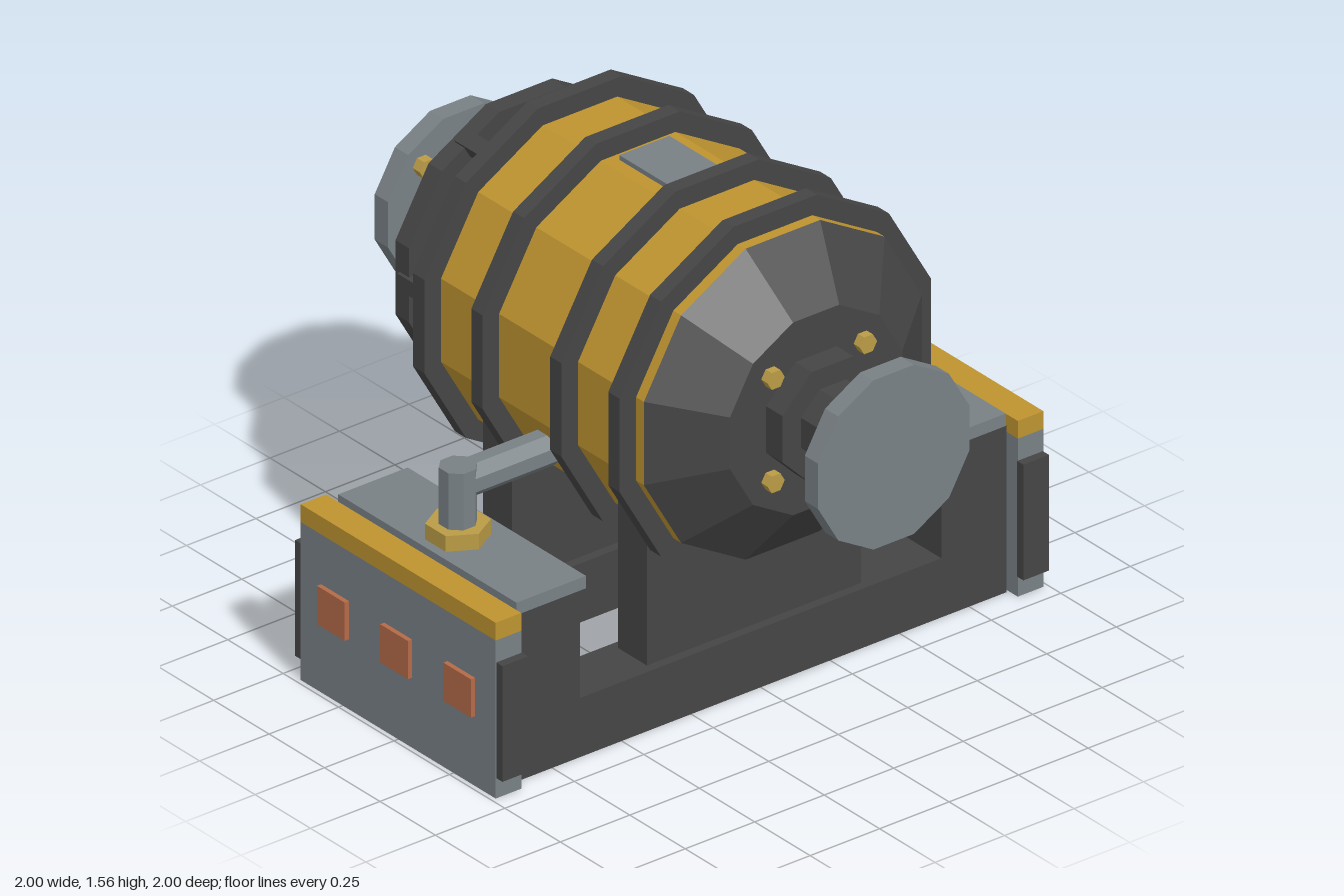
import * as THREE from 'three';

const mat = (name, color) => {
  const m = new THREE.MeshStandardMaterial({ color });
  m.name = name;
  return m;
};

export function createModel() {
  const model = new THREE.Group();
  model.name = 'drumMachine';
  const yellow = mat('yellow paint', 0xbe9430);
  const dark = mat('dark iron', 0x454545);
  const grey = mat('grey steel', 0x798185);
  const brass = mat('brass', 0xbb9c46);
  const copper = mat('copper', 0xb46a48);
  const AXIS = 1.0;

  // Faceted mesh helper
  function add(name, geo, material, parent = model) {
    const g = geo.index ? geo.toNonIndexed() : geo;
    g.computeVertexNormals();
    const mesh = new THREE.Mesh(g, material);
    mesh.name = name;
    parent.add(mesh);
    return mesh;
  }
  // Box from its limits
  function box(name, material, x0, x1, y0, y1, z0, z1) {
    const g = new THREE.BoxGeometry(x1 - x0, y1 - y0, z1 - z0);
    g.translate((x0 + x1) / 2, (y0 + y1) / 2, (z0 + z1) / 2);
    return add(name, g, material);
  }
  // Polygonal prism or cone along z, sized by the distance to its flats
  function prism(name, material, sides, flatBack, flatFront, z0, z1, x = 0, y = AXIS) {
    const k = 1 / Math.cos(Math.PI / sides);
    const g = new THREE.CylinderGeometry(flatFront * k, flatBack * k, z1 - z0, sides);
    g.rotateY(Math.PI / sides).rotateX(Math.PI / 2).translate(x, y, (z0 + z1) / 2);
    return add(name, g, material);
  }

  // Drum, front cone and hoops
  prism('drum', yellow, 12, 0.5, 0.5, -0.5, 0.5);
  prism('frontCone', dark, 12, 0.5, 0.31, 0.5, 0.65);
  for (const z of [-0.44, -0.178, 0.178, 0.44]) {
    prism('hoop', dark, 12, 0.56, 0.56, z - 0.025, z + 0.025);
  }
  box('topHatch', grey, -0.09, 0.09, 1.48, 1.515, -0.125, 0.125);

  // Front shaft
  prism('frontCollar', dark, 8, 0.18, 0.18, 0.65, 0.725);
  prism('frontPipe', dark, 8, 0.115, 0.115, 0.72, 0.94);
  prism('frontFlange', grey, 12, 0.272, 0.272, 0.94, 1.0);

  // Rear shaft
  prism('fanHub', grey, 8, 0.08, 0.08, -0.64, -0.5);
  prism('rearCollar', dark, 8, 0.18, 0.18, -0.72, -0.63);
  prism('rearHousing', dark, 8, 0.148, 0.148, -0.875, -0.72);
  prism('rearPipe', dark, 8, 0.115, 0.115, -0.94, -0.875);
  prism('rearFlange', grey, 12, 0.272, 0.272, -1.0, -0.94);

  // Bolts on the cone and both flanges
  for (const [z0, z1, r] of [[0.64, 0.678, 0.235], [0.908, 0.94, 0.215], [-0.94, -0.908, 0.215]]) {
    for (let i = 0; i < 4; i++) {
      const a = Math.PI / 4 + i * Math.PI / 2;
      prism('bolt', brass, 6, 0.027, 0.027, z0, z1, r * Math.cos(a), AXIS + r * Math.sin(a));
    }
  }

  // Rear guard ring
  const guard = new THREE.LatheGeometry(
    [[0.385, -0.03], [0.46, -0.03], [0.46, 0.03], [0.385, 0.03], [0.385, -0.03]]
      .map(([r, h]) => new THREE.Vector2(r, h)), 12);
  guard.rotateY(Math.PI / 12).rotateX(Math.PI / 2).translate(0, AXIS, -0.66);
  add('guardRing', guard, dark);

  // Guard struts and pitched fan blades
  for (let i = 0; i < 6; i++) {
    const a = i * Math.PI / 3;
    const strut = new THREE.BoxGeometry(0.05, 0.05, 0.18);
    strut.translate(0.43, 0, -0.58).rotateZ(a).translate(0, AXIS, 0);
    add('guardStrut', strut, dark);
    const blade = new THREE.BoxGeometry(0.31, 0.12, 0.018);
    blade.rotateX(0.66).translate(0.215, 0, -0.57).rotateZ(a).translate(0, AXIS, 0);
    add('fanBlade', blade, grey);
  }

  // Base rails and drum cradles, front and rear
  for (const s of [-1, 1]) {
    const zr = s * 0.305;
    box('baseRail', dark, -0.65, 0.65, 0, 0.19, zr - 0.095, zr + 0.095);
    box('drumCradle', dark, -0.385, 0.385, 0.19, 0.675, zr - 0.065, zr + 0.065);
  }

  // Side pedestals, panels and feed pipes
  for (const s of [-1, 1]) {
    const side = (name, m, x0, x1, ...rest) =>
      box(name, m, Math.min(s * x0, s * x1), Math.max(s * x0, s * x1), ...rest);
    side('pedestal', dark, 0.65, 0.885, 0, 0.537, -0.4, 0.4);
    side('pedestalPlate', grey, 0.63, 0.88, 0.537, 0.577, -0.402, 0.402);
    side('sidePanel', grey, 0.893, 0.985, 0, 0.508, -0.44, 0.44);
    side('panelCap', yellow, 0.893, 0.985, 0.508, 0.565, -0.44, 0.44);
    for (const e of [-1, 1]) {
      side('panelEnd', dark, 0.891, 0.983, 0.065, 0.437, e * 0.453 - 0.015, e * 0.453 + 0.015);
    }
    for (const z of [-0.285, 0, 0.285]) {
      side('copperPlate', copper, 0.98, 1.0, 0.225, 0.348, z - 0.0625, z + 0.0625);
    }

    const nut = new THREE.CylinderGeometry(0.094, 0.094, 0.05, 6);
    add('pipeNut', nut.translate(s * 0.77, 0.602, 0), brass);

    const R = 0.052 / Math.cos(Math.PI / 8);
    const riser = new THREE.CylinderGeometry(R, R, 0.2, 8);
    riser.rotateY(Math.PI / 8).translate(s * 0.77, 0.708, 0);
    add('feedRiser', riser, grey);
    const arm = new THREE.CylinderGeometry(R, R, 0.33, 8);
    arm.rotateY(Math.PI / 8).rotateZ(Math.PI / 2).translate(s * 0.605, 0.755, 0);
    add('feedArm', arm, grey);
  }

  return model;
}
